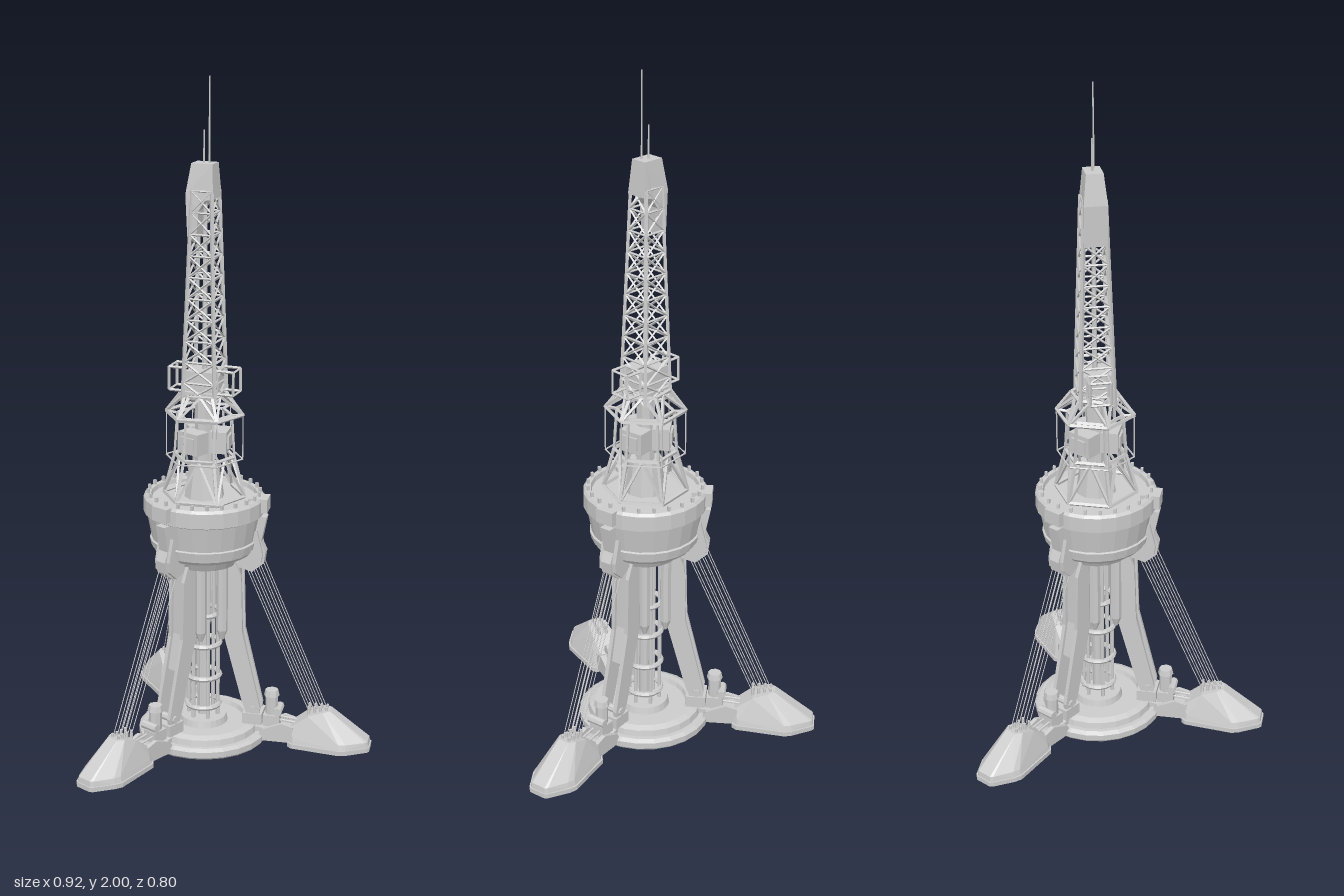
import * as THREE from 'three';
import { ConvexGeometry } from 'three/addons/geometries/ConvexGeometry.js';

const mat = new THREE.MeshStandardMaterial({ color: 0xcccccc, flatShading: true, side: THREE.DoubleSide });
const V = (x, y, z) => new THREE.Vector3(x, y, z);

function add(parent, name, geo, x = 0, y = 0, z = 0) {
  const m = new THREE.Mesh(geo, mat);
  m.name = name;
  m.position.set(x, y, z);
  parent.add(m);
  return m;
}
const box = (p, name, w, h, d, x, y, z) => add(p, name, new THREE.BoxGeometry(w, h, d), x, y, z);
const cyl = (p, name, r0, r1, h, x, y, z, n = 12) => add(p, name, new THREE.CylinderGeometry(r1, r0, h, n), x, y, z);
const lathe = (p, name, pts, n = 24) => add(p, name, new THREE.LatheGeometry(pts.map(a => new THREE.Vector2(...a)), n));

// Straight bar between two points
function beam(p, name, a, b, r, n = 4) {
  const d = b.clone().sub(a);
  const m = add(p, name, new THREE.CylinderGeometry(r, r, d.length(), n));
  m.position.copy(a).add(b).multiplyScalar(0.5);
  m.quaternion.setFromUnitVectors(V(0, 1, 0), d.normalize());
  return m;
}
// Plate cut from a side profile of [radius, height], centred at x
function plate(p, name, pts, width, x = 0) {
  const g = new THREE.ExtrudeGeometry(new THREE.Shape(pts.map(a => new THREE.Vector2(...a))), { depth: width, bevelEnabled: false });
  g.translate(0, 0, -width / 2).rotateY(-Math.PI / 2);
  return add(p, name, g, x);
}
// Corners of a regular polygon at height y
const corners = (n, r, y, turn = 0) => Array.from({ length: n }, (_, i) => {
  const a = turn + i * 2 * Math.PI / n;
  return V(r * Math.sin(a), y, r * Math.cos(a));
});
function loop(p, name, c, r) {
  c.forEach((a, i) => beam(p, name, a, c[(i + 1) % c.length], r));
}

// One of three radial legs; outward is +z
function buildLeg() {
  const leg = new THREE.Group();
  leg.name = 'leg';

  // Faceted foot pod on a thin sole
  const half = [[0.045, 0.27], [0.056, 0.282], [0.075, 0.43], [0.068, 0.452], [0.034, 0.51], [0.026, 0.517]];
  const both = f => half.flatMap(([x, z]) => [f(x, z), f(-x, z)]);
  add(leg, 'footSole', new ConvexGeometry([...both((x, z) => V(x, 0, z)), ...both((x, z) => V(x, 0.014, z))]));
  const top = [[0.03, 0.058, 0.275], [0.034, 0.1, 0.33], [0.03, 0.115, 0.375], [0.018, 0.117, 0.395]];
  add(leg, 'footPod', new ConvexGeometry([
    ...both((x, z) => V(x * 0.93, 0.014, 0.4 + (z - 0.4) * 0.97)),
    ...both((x, z) => V(x * 0.87, 0.03, 0.4 + (z - 0.4) * 0.95)),
    ...top.flatMap(([x, y, z]) => [V(x, y, z), V(-x, y, z)])]));

  // Arm joining the base to the pod
  plate(leg, 'footArm', [[0.15, 0.012], [0.3, 0.012], [0.3, 0.055], [0.26, 0.055], [0.2, 0.042], [0.15, 0.05]], 0.05);
  for (const s of [-1, 1]) {
    plate(leg, 'armCheek', [[0.17, 0.01], [0.285, 0.01], [0.285, 0.06], [0.25, 0.07], [0.19, 0.045]], 0.013, s * 0.034);
    beam(leg, 'armPipe', V(s * 0.012, 0.075, 0.2), V(s * 0.012, 0.065, 0.3), 0.004, 6);
  }

  // Winch post on the arm
  box(leg, 'winchBase', 0.046, 0.035, 0.05, 0, 0.068, 0.215);
  cyl(leg, 'winchPost', 0.019, 0.019, 0.07, 0, 0.115, 0.213, 8);
  cyl(leg, 'winchCap', 0.024, 0.02, 0.018, 0, 0.154, 0.213, 8);
  cyl(leg, 'winchDrum', 0.013, 0.013, 0.056, 0, 0.1, 0.235, 8).rotation.z = Math.PI / 2;

  // Forked strut
  const strut = [[0.142, 0.085], [0.178, 0.085], [0.182, 0.11], [0.125, 0.35], [0.12, 0.53], [0.1, 0.58],
    [0.06, 0.58], [0.06, 0.37], [0.082, 0.29], [0.125, 0.13]];
  for (const s of [-1, 1]) plate(leg, 'strutSide', strut, 0.012, s * 0.024);
  plate(leg, 'strutWeb', [[0.1, 0.25], [0.138, 0.25], [0.115, 0.36], [0.112, 0.57], [0.07, 0.57], [0.07, 0.37]], 0.036);
  box(leg, 'strutShoe', 0.07, 0.035, 0.06, 0, 0.075, 0.158);
  cyl(leg, 'strutPin', 0.012, 0.012, 0.07, 0, 0.105, 0.16, 8).rotation.z = Math.PI / 2;

  // Bracket hugging the bowl, with clamp on the rim
  plate(leg, 'cableBracket', [[0.1, 0.56], [0.15, 0.545], [0.185, 0.575], [0.19, 0.61], [0.176, 0.64], [0.192, 0.72], [0.14, 0.72], [0.12, 0.6]], 0.034);
  for (const s of [-1, 1])
    plate(leg, 'bracketCheek', [[0.115, 0.575], [0.15, 0.552], [0.18, 0.58], [0.182, 0.61], [0.165, 0.68], [0.13, 0.66]], 0.012, s * 0.023);
  box(leg, 'rimClamp', 0.056, 0.042, 0.058, 0, 0.757, 0.166);

  // Stay cables and their sockets
  for (const s of [-1, 1]) for (let i = 0; i < 4; i++) {
    const foot = V(s * 0.012, 0.095, 0.335 + i * 0.018);
    beam(leg, 'stayCable', foot, V(s * 0.012, 0.558 + i * 0.009, 0.132 + i * 0.016), 0.0013, 5);
    cyl(leg, 'cableSocket', 0.0055, 0.004, 0.028, foot.x, 0.112, foot.z - 0.006, 6);
  }
  return leg;
}

export function createModel() {
  const root = new THREE.Group();
  root.name = 'mooringTower';
  const t = new THREE.Group();
  t.name = 'tower';
  t.position.z = -0.117;
  root.add(t);

  // Stepped base with a recessed underside
  lathe(t, 'base', [[0, 0.02], [0.05, 0.02], [0.055, 0.006], [0.075, 0.006], [0.08, 0.02], [0.15, 0.02], [0.155, 0],
    [0.192, 0], [0.197, 0.006], [0.197, 0.024], [0.185, 0.032], [0.172, 0.032], [0.168, 0.05], [0.15, 0.058],
    [0.13, 0.058], [0.125, 0.045], [0.075, 0.045], [0.07, 0.065], [0, 0.065]]);
  for (let i = 0; i < 6; i++) {
    const a = i * Math.PI / 3;
    beam(t, 'undersideRib', V(0.07 * Math.sin(a), 0.014, 0.07 * Math.cos(a)), V(0.16 * Math.sin(a), 0.014, 0.16 * Math.cos(a)), 0.006);
  }

  for (let i = 0; i < 3; i++) {
    const leg = buildLeg();
    leg.rotation.y = i * 2 * Math.PI / 3;
    t.add(leg);
  }

  // Open core: pipes, hoops and upper columns
  cyl(t, 'coreShaft', 0.016, 0.016, 0.56, 0, 0.33, 0, 10);
  corners(6, 0.045, 0).forEach(c => beam(t, 'corePipe', c.clone().setY(0.06), c.clone().setY(0.61), 0.006, 8));
  for (const y of [0.1, 0.195, 0.3, 0.4]) {
    const hoop = add(t, 'coreHoop', new THREE.TorusGeometry(0.05, 0.008, 6, 18), 0, y, 0);
    hoop.rotation.x = Math.PI / 2;
  }
  for (const s of [-0.42, 0.42]) for (const c of corners(3, 0.082, 0, Math.PI / 3 + s)) {
    cyl(t, 'upperColumn', 0.017, 0.017, 0.22, c.x, 0.475, c.z, 8);
    cyl(t, 'columnTip', 0.006, 0.017, 0.03, c.x, 0.35, c.z, 8);
  }
  cyl(t, 'collar', 0.1, 0.125, 0.045, 0, 0.588, 0, 18);

  // Bowl and rim deck
  lathe(t, 'bowl', [[0, 0.6], [0.142, 0.6], [0.15, 0.61], [0.17, 0.72], [0.18, 0.725], [0.18, 0.77], [0.173, 0.778],
    [0.158, 0.778], [0.155, 0.765], [0, 0.765]]);
  lathe(t, 'bowlBand', [[0.146, 0.618], [0.158, 0.622], [0.162, 0.642], [0.156, 0.645]]);
  corners(24, 0.166, 0.785).forEach(c => box(t, 'rimStud', 0.008, 0.014, 0.008, c.x, c.y, c.z));

  // Hexagonal cage, as rings of [radius, height]
  const hex = [[0.122, 0.775], [0.09, 0.895], [0.082, 1.02], [0.115, 1.025], [0.07, 1.085]].map(([r, y]) => corners(6, r, y));
  hex.forEach(c => loop(t, 'cageRing', c, 0.006));
  for (let i = 0; i < 6; i++) {
    const j = (i + 1) % 6;
    const mid = (k, y) => hex[k][i].clone().add(hex[k][j]).multiplyScalar(0.5);
    beam(t, 'lowerCagePost', hex[0][i], hex[1][i], 0.006);
    beam(t, 'cageBrace', hex[0][i], mid(1), 0.005);
    beam(t, 'cageBrace', hex[0][j], mid(1), 0.005);
    beam(t, 'cagePost', hex[1][i], hex[2][i], 0.005);
    beam(t, 'cageOutrigger', hex[2][i], hex[3][i], 0.005);
    beam(t, 'upperCagePost', hex[3][i], hex[4][i], 0.006);
    beam(t, 'cageBrace', hex[3][i], mid(4), 0.005);
    beam(t, 'cageBrace', hex[3][j], mid(4), 0.005);
    beam(t, 'guardPost', hex[3][i], hex[3][i].clone().setY(0.89), 0.0022);
  }
  loop(t, 'guardRail', corners(6, 0.115, 0.89), 0.0025);
  cyl(t, 'machineDrum', 0.06, 0.045, 0.1, 0, 0.82, 0, 10);
  cyl(t, 'machineCore', 0.028, 0.028, 0.25, 0, 0.97, 0, 8);
  for (let i = 0; i < 3; i++) {
    const g = new THREE.Group();
    g.name = 'machineHousing';
    g.rotation.y = i * 2 * Math.PI / 3;
    box(g, 'housing', 0.075, 0.065, 0.05, 0, 0.945, 0.048);
    box(g, 'housingPanel', 0.052, 0.038, 0.008, 0, 0.945, 0.075);
    t.add(g);
  }

  // Square mast, turned about its axis
  const mast = new THREE.Group();
  mast.name = 'mast';
  mast.rotation.y = 0.36;
  t.add(mast);
  const bays = 10;
  const level = k => {
    const f = k / bays;
    return corners(4, (0.05 - 0.02 * f) * Math.SQRT2, 1.06 + 0.62 * f, Math.PI / 4);
  };
  for (let k = 0; k < bays; k++) {
    const a = level(k), b = level(k + 1);
    loop(mast, 'mastRing', b, 0.0035);
    for (let i = 0; i < 4; i++) {
      const j = (i + 1) % 4;
      beam(mast, 'mastPost', a[i], b[i], 0.0065);
      beam(mast, 'mastBrace', a[i], b[j], 0.0035);
      beam(mast, 'mastBrace', a[j], b[i], 0.0035);
    }
  }
  cyl(mast, 'mastPipe', 0.008, 0.006, 0.6, 0, 1.36, 0, 6);

  // Service cabin with side frames
  box(mast, 'cabin', 0.088, 0.06, 0.088, 0, 1.128, 0);
  box(mast, 'cabinSill', 0.1, 0.008, 0.1, 0, 1.092, 0);
  for (const s of [-1, 1]) {
    const c = [[0.05, 1.093], [0.1, 1.093], [0.1, 1.162], [0.05, 1.162]];
    for (const z of [-0.03, 0.03]) loop(mast, 'sideFrame', c.map(([x, y]) => V(s * x, y, z)), 0.0045);
    for (const [x, y] of c) beam(mast, 'sideFrameRail', V(s * x, y, -0.03), V(s * x, y, 0.03), 0.004);
  }

  // Head cap, with a cowl hanging lower on one side
  const cap = [[-0.034, 1.758], [0.03, 1.758], [0.036, 1.66], [0.012, 1.655], [-0.008, 1.625], [-0.014, 1.55], [-0.042, 1.55], [-0.048, 1.67]];
  const g = new THREE.ExtrudeGeometry(new THREE.Shape(cap.map(a => new THREE.Vector2(...a))), { depth: 0.068, bevelEnabled: false });
  g.translate(0, 0, -0.034);
  const p = g.attributes.position;
  for (let i = 0; i < p.count; i++) if (p.getY(i) > 1.7) p.setZ(i, p.getZ(i) * 0.72);
  g.computeVertexNormals();
  add(mast, 'headCap', g);

  // Antennas
  cyl(t, 'tallAntenna', 0.0028, 0.002, 0.25, 0.014, 1.875, 0, 6);
  cyl(t, 'shortAntenna', 0.003, 0.002, 0.1, -0.006, 1.8, 0, 6);
  return root;
}
